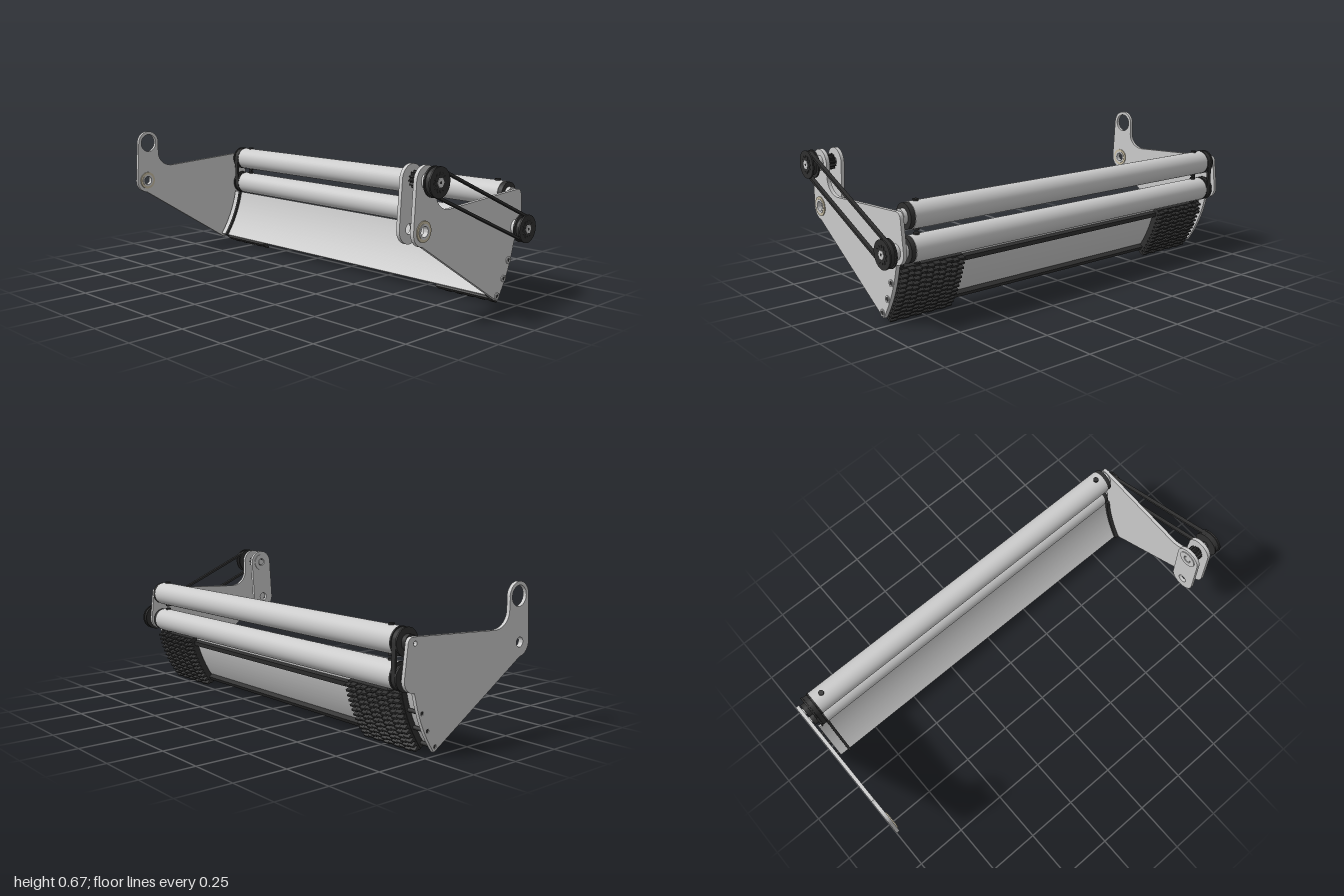
import * as THREE from 'three';
import { toCreasedNormals } from 'three/addons/utils/BufferGeometryUtils.js';

const PI = Math.PI, rad = THREE.MathUtils.degToRad;
// Side profiles are drawn in (u, y) with u = -z, then extruded along x.
const PIVOT = [-0.32, 0.405], DRIVE = [-0.306, 0.606];
const LOWER = [0.318, 0.335], UPPER = [0.318, 0.476];
const SCREWS = [[0.273, 0.192], [0.24, 0.114], [0.195, 0.042]];

const grey = new THREE.MeshStandardMaterial({ color: 0xcccccc });
const dark = new THREE.MeshStandardMaterial({ color: 0x303030 });
const tan = new THREE.MeshStandardMaterial({ color: 0xc9bfa5 });

export function createModel() {
  const model = new THREE.Group();

  const add = (name, geo, mat = grey) => {
    const mesh = new THREE.Mesh(geo, mat);
    mesh.name = name;
    model.add(mesh);
    return mesh;
  };
  const slab = (name, shape, x0, x1, mat) => {
    const geo = new THREE.ExtrudeGeometry(shape, { depth: x1 - x0, bevelEnabled: false, curveSegments: 20 });
    geo.rotateY(PI / 2).translate(x0, 0, 0);
    return add(name, toCreasedNormals(geo, rad(35)), mat);
  };
  const rod = (name, [u, y], r, x0, x1, mat, sides = 32) => {
    const geo = new THREE.CylinderGeometry(r, r, x1 - x0, sides);
    geo.rotateZ(PI / 2).translate((x0 + x1) / 2, y, -u);
    return add(name, geo, mat);
  };
  const hole = (shape, [u, y], r) => {
    shape.holes.push(new THREE.Path().absarc(u, y, r, 0, PI * 2, true));
    return shape;
  };
  const disc = ([u, y], r) => new THREE.Shape().absarc(u, y, r, 0, PI * 2, false);
  const ring = (name, c, r, inner, x0, x1, mat) => slab(name, hole(disc(c, r), c, inner), x0, x1, mat);

  // Rounded outline around two circles of equal radius
  const capsule = (path, p, q, r) => {
    const a = Math.atan2(q[1] - p[1], q[0] - p[0]);
    path.absarc(p[0], p[1], r, a + PI / 2, a + PI * 1.5, false);
    path.absarc(q[0], q[1], r, a - PI / 2, a + PI / 2, false);
    path.closePath();
    return path;
  };
  const belt = (name, p, q, r, t, x0, x1) => {
    const shape = capsule(new THREE.Shape(), p, q, r);
    shape.holes.push(capsule(new THREE.Path(), p, q, r - t));
    slab(name, shape, x0, x1, dark);
  };
  // Band about the pivot, between two radii and two angles below horizontal
  const band = (r0, r1, a0, a1) => {
    const shape = new THREE.Shape();
    shape.absarc(...PIVOT, r1, rad(-a1), rad(-a0), false);
    shape.absarc(...PIVOT, r0, rad(-a0), rad(-a1), true);
    shape.closePath();
    return shape;
  };
  const star = ([u, y], rOut, rIn, teeth) => {
    const pts = [];
    for (let i = 0; i < teeth * 4; i++) {
      const a = (i / (teeth * 4)) * PI * 2, r = i % 4 < 2 ? rOut : rIn;
      pts.push(new THREE.Vector2(u + r * Math.cos(a), y + r * Math.sin(a)));
    }
    return new THREE.Shape(pts);
  };

  // Side plates: fan-shaped panel with a raised lobe at the front
  const sidePlate = (name, x0, x1, lobeHole) => {
    const s = new THREE.Shape();
    s.moveTo(-0.325, 0.342);
    s.lineTo(0.2, 0.018);
    s.absarc(...PIVOT, 0.648, rad(-36.2), rad(-13), false);
    s.absarc(...LOWER, 0.056, -PI / 2, 0, false);
    s.lineTo(0.358, 0.47);
    s.quadraticCurveTo(0.358, 0.504, 0.325, 0.503);
    s.lineTo(-0.15, 0.475);
    s.bezierCurveTo(-0.205, 0.472, -0.245, 0.505, -0.245, 0.55);
    s.lineTo(-0.246, 0.606);
    s.absarc(...DRIVE, 0.062, 0, PI, false);
    s.lineTo(-0.381, 0.405);
    s.absarc(-0.32, 0.403, 0.061, PI, PI * 1.46, false);
    hole(s, DRIVE, lobeHole);
    hole(s, PIVOT, 0.022);
    hole(s, UPPER, 0.01);
    SCREWS.forEach((c) => hole(s, c, 0.009));
    slab(name, s, x0, x1);
  };
  sidePlate('leftHandPlate', 0.913, 0.93, 0.02);
  sidePlate('rightHandPlate', -1, -0.983, 0.046);
  for (const [x0, x1] of [[0.93, 0.934], [-0.983, -0.978]]) {
    ring('pivotBushing', PIVOT, 0.044, 0.03, x0, x1, tan);
    ring('pivotCollar', PIVOT, 0.032, 0.022, x0, x1 + 0.002);
  }
  for (const c of SCREWS) {
    ring('screwWasher', c, 0.016, 0.009, 0.93, 0.934);
    rod('screw', c, 0.009, 0.85, 0.931, dark, 12);
    rod('screw', c, 0.009, -0.997, -0.92, dark, 12);
  }

  // Rollers with end caps, hubs, pulleys and locking pins
  for (const c of [UPPER, LOWER]) {
    rod('roller', c, 0.058, -0.918, 0.868, grey, 48);
    rod('rollerEndCap', c, 0.056, 0.868, 0.89, dark);
    rod('rollerHub', c, 0.034, 0.888, 0.908);
    rod('rollerHub', c, 0.034, -0.978, -0.95, dark);
    rod('rollerShaft', c, 0.016, -0.983, 0.93);
    for (const [x0, x1] of [[-0.926, -0.918], [-0.958, -0.95]]) rod('pulleyFlange', c, 0.06, x0, x1, dark);
    rod('pulleyBody', c, 0.048, -0.952, -0.924, dark);
    for (const x of [-0.87, 0.832]) {
      const geo = new THREE.CylinderGeometry(0.013, 0.013, 0.13, 16);
      add('lockingPin', geo.translate(x, c[1], -c[0]), dark);
    }
  }
  belt('rollerBelt', UPPER, LOWER, 0.056, 0.009, -0.949, -0.927);

  // Outer drive: two pulleys joined by a belt
  for (const c of [DRIVE, LOWER]) {
    rod('drivePulleyBody', c, 0.049, 0.968, 0.99, dark);
    for (const [x0, x1] of [[0.961, 0.968], [0.989, 0.996]]) rod('drivePulleyFlange', c, 0.063, x0, x1, dark);
    slab('pulleyGearFace', star(c, 0.041, 0.031, 12), 0.99, 0.998, dark);
    rod('driveNut', c, 0.021, 0.99, 1, grey, 6);
    rod('shaftTip', c, 0.006, 0.99, 1.0005, dark, 12);
    rod('driveShaft', c, 0.018, 0.9, 0.965, dark);
    rod('driveHub', c, 0.034, 0.93, 0.946, grey);
  }
  belt('driveBelt', DRIVE, LOWER, 0.058, 0.011, 0.97, 0.988);

  // Inner link bracket and drive gear
  const link = capsule(new THREE.Shape(), DRIVE, PIVOT, 0.062);
  hole(link, DRIVE, 0.02);
  hole(link, PIVOT, 0.022);
  slab('linkBracket', link, 0.842, 0.858);
  ring('linkBushing', DRIVE, 0.044, 0.02, 0.838, 0.842);
  rod('gearShaft', DRIVE, 0.016, 0.84, 0.92);
  slab('driveGear', star(DRIVE, 0.036, 0.028, 12), 0.867, 0.903, dark);

  // Curved guide sheet with end ribs and stiffening bars
  slab('guideSheet', band(0.612, 0.622, 11.6, 36.2), -0.972, 0.905);
  slab('endRib', band(0.6, 0.648, 11.6, 36.6), -0.928, -0.915, dark);
  slab('endRib', band(0.6, 0.648, 11.6, 36.6), 0.893, 0.913, dark);
  for (const a of [14, 33.5]) slab('stiffeningBar', band(0.622, 0.645, a, a + 2), -0.92, 0.905, dark);

  // Toothed grip pads: columns of staggered teeth around the arc
  const toothedBand = (shift) => {
    const pts = [], a0 = 12.4, a1 = 36.9, teeth = 12, step = (a1 - a0) / teeth;
    const put = (r, a) => pts.push(new THREE.Vector2(PIVOT[0] + r * Math.cos(rad(a)), PIVOT[1] - r * Math.sin(rad(a))));
    for (let i = 0; i <= teeth; i++) put(0.626, a1 - i * step);
    put(0.655, a0);
    for (let i = 0; i < teeth; i++) {
      put(0.655, a0 + (i + 0.1 + shift) * step);
      put(0.675, a0 + (i + 0.25 + shift) * step);
      put(0.675, a0 + (i + 0.6 + shift) * step);
      put(0.655, a0 + (i + 0.75 + shift) * step);
    }
    put(0.655, a1);
    return new THREE.Shape(pts);
  };
  const columns = 10, width = 0.31 / columns;
  for (const start of [-0.925, 0.602]) {
    for (let i = 0; i < columns; i++) {
      const x = start + i * width;
      slab('gripPad', toothedBand(i % 2 ? 0.24 : 0), x, x + width, dark);
    }
  }
  return model;
}
